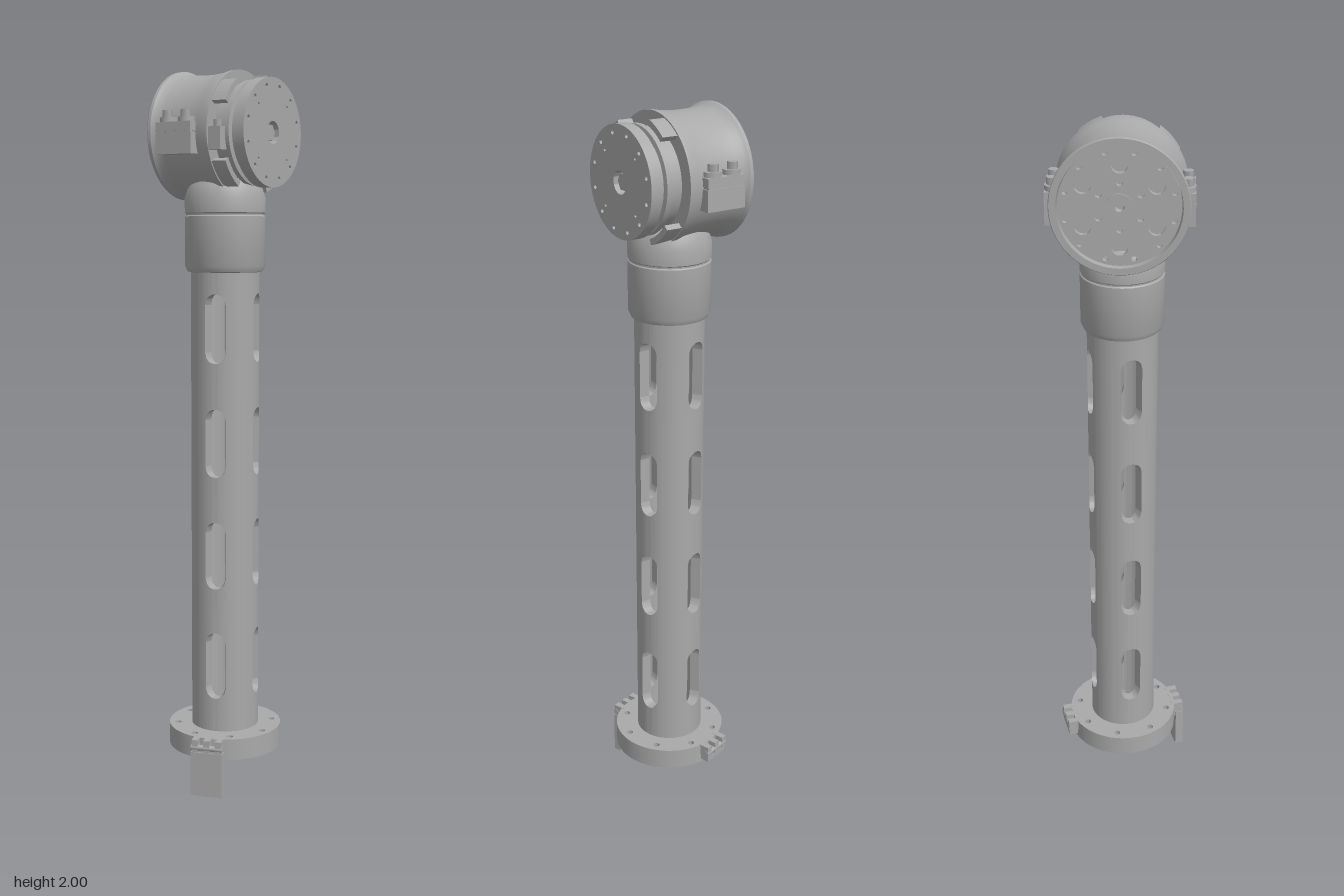
import * as THREE from 'three';
import { toCreasedNormals } from 'three/addons/utils/BufferGeometryUtils.js';

const metal = new THREE.MeshStandardMaterial({ color: 0xa9a9a9 });
metal.name = 'grey metal';
const TAU = Math.PI * 2;

function add(parent, name, geo, x = 0, y = 0, z = 0) {
  const m = new THREE.Mesh(geo, metal);
  m.name = name;
  m.position.set(x, y, z);
  parent.add(m);
  return m;
}

function lathe(points, segments = 64) {
  const pts = points.map(([r, y]) => new THREE.Vector2(r, y));
  return toCreasedNormals(new THREE.LatheGeometry(pts, segments), 0.5);
}

// Flat disc along +z; each hole is [radius, ringRadius, count]
function disc(radius, depth, holes) {
  const s = new THREE.Shape().absarc(0, 0, radius, 0, TAU, false);
  for (const [r, ring, count] of holes) {
    for (let i = 0; i < count; i++) {
      const a = ((i + 0.5) / count) * TAU;
      s.holes.push(new THREE.Path().absarc(Math.cos(a) * ring, Math.sin(a) * ring, r, 0, TAU, true));
    }
  }
  const geo = new THREE.ExtrudeGeometry(s, { depth, bevelEnabled: false, curveSegments: 32 });
  return toCreasedNormals(geo, 0.5);
}

// Curved wall panel around y, between heights given as functions of the angle
function wallPanel(a0, a1, bottom, top, outer, inner, steps = 12) {
  const pos = [];
  const loop = (a) => {
    const p = (r, y) => [Math.sin(a) * r, y, Math.cos(a) * r];
    return [p(outer, bottom(a)), p(outer, top(a)), p(inner, top(a)), p(inner, bottom(a))];
  };
  const quad = (a, b, c, d) => pos.push(...a, ...b, ...c, ...a, ...c, ...d);
  for (let i = 0; i < steps; i++) {
    const p = loop(a0 + ((a1 - a0) * i) / steps);
    const q = loop(a0 + ((a1 - a0) * (i + 1)) / steps);
    for (let k = 0; k < 4; k++) quad(p[k], q[k], q[(k + 1) % 4], p[(k + 1) % 4]);
    if (i === 0) quad(...p);
    if (i === steps - 1) quad(...q.reverse());
  }
  const geo = new THREE.BufferGeometry();
  geo.setAttribute('position', new THREE.Float32BufferAttribute(pos, 3));
  return toCreasedNormals(geo, 0.6);
}

// Tube with four columns of rounded slots
function makeTube() {
  const g = new THREE.Group();
  g.name = 'slottedTube';
  const R = 0.095, inner = 0.066, y0 = 0.15, y1 = 1.46, w = 0.03, half = w / R;
  const centres = [0.35, 0.667, 0.984, 1.3];
  const reach = (a) => 0.065 + Math.sqrt(Math.max(0, w * w - (a * R) ** 2));
  const webs = [];
  for (let i = 0; i <= centres.length; i++) {
    const bottom = (a) => (i === 0 ? y0 : centres[i - 1] + reach(a));
    const top = (a) => (i === centres.length ? y1 : centres[i] - reach(a));
    webs.push(wallPanel(-half, half, bottom, top, R, inner, 16));
  }
  const rib = wallPanel(half, Math.PI / 2 - half, () => y0, () => y1, R, inner);
  for (let k = 0; k < 4; k++) {
    const side = new THREE.Group();
    side.name = 'tubeSide';
    side.rotation.y = (k * Math.PI) / 2;
    add(side, 'tubeRib', rib);
    webs.forEach((geo) => add(side, 'slotWeb', geo));
    g.add(side);
  }
  return g;
}

function makeBase() {
  const g = new THREE.Group();
  g.name = 'base';
  const plate = disc(0.16, 0.045, [[0.065, 0, 1], [0.009, 0.135, 8]]);
  plate.rotateX(-Math.PI / 2);
  add(g, 'baseFlange', plate, 0, 0.115, 0);
  add(g, 'baseRim', lathe([[0.147, 0.116], [0.147, 0.1], [0.16, 0.1], [0.16, 0.116]]));
  // Hinge lugs on opposite sides
  for (const s of [1, -1]) {
    add(g, 'hingeBlock', new THREE.BoxGeometry(0.08, 0.025, 0.03), 0, 0.122, s * 0.165);
    for (const x of [-0.034, 0, 0.034]) {
      add(g, 'hingeLug', new THREE.BoxGeometry(0.018, 0.035, 0.035), x, 0.143, s * 0.165);
    }
    const pin = new THREE.CylinderGeometry(0.008, 0.008, 0.09, 16).rotateZ(Math.PI / 2);
    add(g, 'hingePin', pin, 0, 0.138, s * 0.176);
  }
  add(g, 'hangingPlate', new THREE.BoxGeometry(0.09, 0.126, 0.024), 0, 0.063, 0.172);
  return g;
}

// Joint head, built along local x
function makeHead() {
  const g = new THREE.Group();
  g.name = 'jointHead';
  const alongX = (geo) => geo.rotateZ(-Math.PI / 2);
  const faceX = (geo) => geo.rotateY(Math.PI / 2);

  add(g, 'housing', alongX(lathe([
    [0, -0.095], [0.152, -0.095], [0.156, -0.14], [0.173, -0.14], [0.175, -0.137], [0.175, -0.128],
    [0.168, -0.118], [0.163, -0.1], [0.161, -0.06], [0.161, -0.02], [0.165, 0.02], [0.17, 0.04],
    [0.17, 0.052], [0.13, 0.052],
  ])));
  add(g, 'rotorCore', alongX(lathe([
    [0.131, 0.045], [0.131, 0.085], [0.141, 0.087], [0.141, 0.102], [0.128, 0.104], [0.128, 0.122], [0, 0.122],
  ])));

  // Recessed cover on the left end
  add(g, 'endCover', faceX(disc(0.153, 0.014, [
    [0.024, 0, 1], [0.021, 0.105, 6], [0.007, 0.139, 12], [0.008, 0.06, 6],
  ])), -0.128);
  add(g, 'coverHub', alongX(lathe([[0.01, -0.115], [0.012, -0.132], [0.034, -0.132], [0.034, -0.126]], 32)));

  // Output flange on the right end
  add(g, 'outputFlange', faceX(disc(0.145, 0.033, [
    [0.03, 0, 1], [0.006, 0.125, 12], [0.004, 0.1, 4],
  ])), 0.118);
  add(g, 'flangeHub', alongX(new THREE.CylinderGeometry(0.024, 0.024, 0.02, 6)), 0.132);

  // Fingers of the shell reaching over the rotor
  for (const [from, to] of [[-42, -18], [35, 62], [118, 150], [200, 232]]) {
    const a = Math.PI / 2 + (from * Math.PI) / 180;
    const b = Math.PI / 2 + (to * Math.PI) / 180;
    const s = new THREE.Shape();
    s.absarc(0, 0, 0.166, a, b, false);
    s.absarc(0, 0, 0.15, b, a, true);
    const geo = new THREE.ExtrudeGeometry(s, { depth: 0.05, bevelEnabled: false, curveSegments: 12 });
    add(g, 'shellFinger', faceX(toCreasedNormals(geo, 0.5)), 0.046);
  }

  // Clamp lugs with hex bolts, front and back
  for (const s of [1, -1]) {
    add(g, 'lowerClampLug', new THREE.BoxGeometry(0.114, 0.056, 0.05), -0.045, -0.031, s * 0.162);
    add(g, 'upperClampLug', new THREE.BoxGeometry(0.114, 0.024, 0.05), -0.045, 0.013, s * 0.162);
    add(g, 'clampSeam', new THREE.BoxGeometry(0.108, 0.01, 0.046), -0.045, -0.002, s * 0.162);
    for (const x of [-0.075, -0.016]) {
      add(g, 'boltBoss', new THREE.CylinderGeometry(0.024, 0.024, 0.03, 24), x, 0.023, s * 0.163);
      add(g, 'hexBolt', new THREE.CylinderGeometry(0.014, 0.014, 0.022, 6), x, 0.046, s * 0.168);
    }
  }

  // Small single lug at the front beside the rotor
  add(g, 'sideLug', new THREE.BoxGeometry(0.04, 0.06, 0.03), 0.07, -0.02, 0.148);
  add(g, 'hexBolt', new THREE.CylinderGeometry(0.011, 0.011, 0.02, 6), 0.075, 0.018, 0.152);
  return g;
}

export function createModel() {
  const model = new THREE.Group();
  model.name = 'armLink';

  // Column turned so its slots sit off the main axes
  const column = new THREE.Group();
  column.name = 'column';
  column.position.set(-0.006, 0, -0.009);
  column.rotation.y = Math.PI / 6;
  column.add(makeBase(), makeTube());
  add(column, 'collar', lathe([
    [0.09, 1.452], [0.104, 1.455], [0.111, 1.47], [0.111, 1.605], [0.108, 1.608], [0.108, 1.612],
    [0.111, 1.615], [0.112, 1.655], [0.1, 1.69], [0.08, 1.72], [0, 1.74],
  ]));
  model.add(column);

  const head = makeHead();
  head.position.set(-0.005, 1.826, -0.012);
  head.rotation.y = 0.227;
  model.add(head);
  return model;
}
